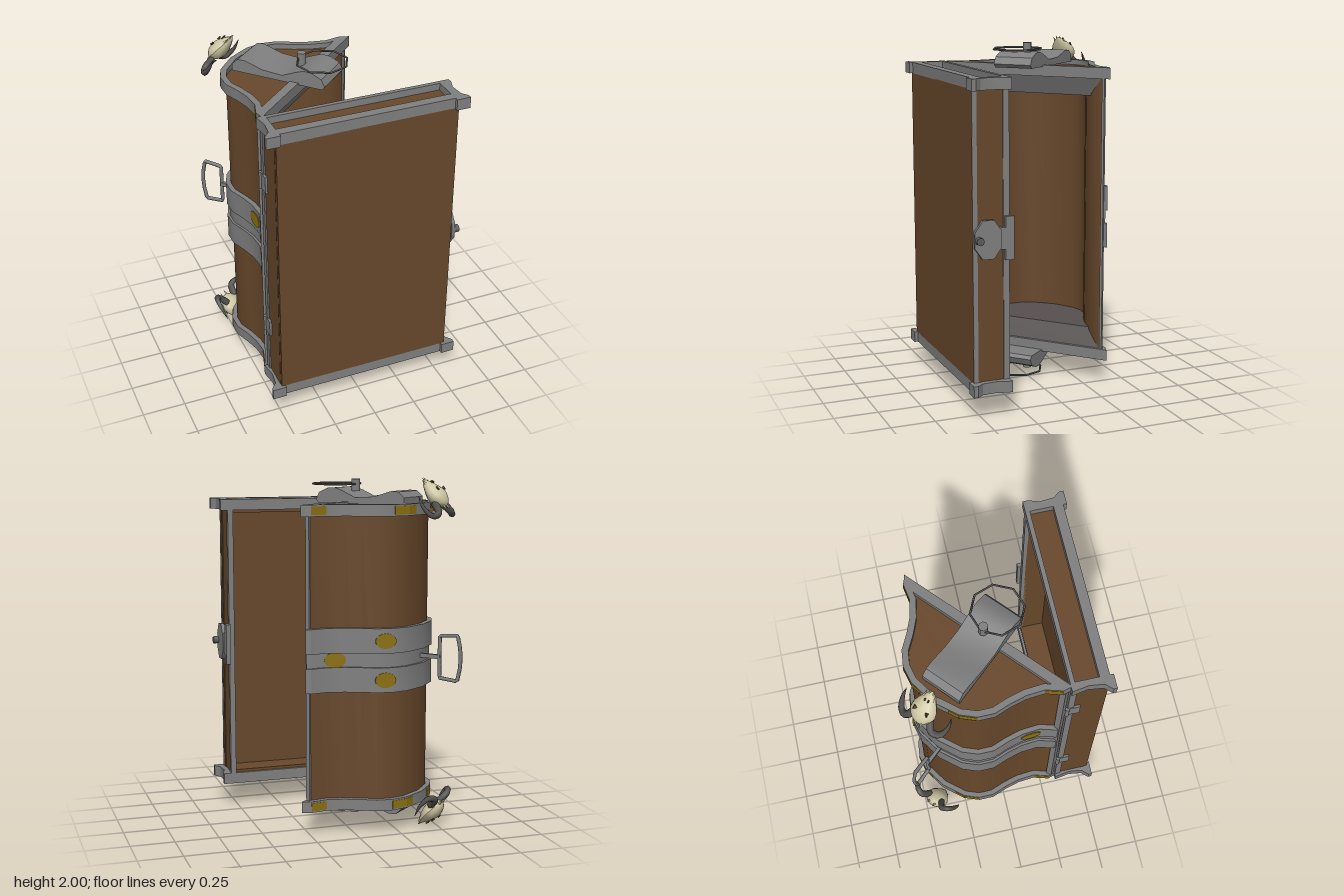
import * as THREE from 'three';
import { toCreasedNormals } from 'three/addons/utils/BufferGeometryUtils.js';

const mat = (name, color, side = THREE.FrontSide) => {
  const m = new THREE.MeshStandardMaterial({ color, side });
  m.name = name;
  return m;
};

export function createModel() {
  const wood = mat('wood', 0x68482b);
  const iron = mat('iron', 0x808080, THREE.DoubleSide);
  const darkIron = mat('dark iron', 0x5e5e5e);
  const lining = mat('lining', 0x565050, THREE.DoubleSide);
  const gold = mat('gold', 0x8c7010);
  const bone = mat('bone', 0xcfc8a4);
  const horn = mat('horn', 0x524f4c);
  const black = mat('socket', 0x4a4030);

  const add = (parent, name, geo, material) => {
    const m = new THREE.Mesh(geo, material);
    m.name = name;
    parent.add(m);
    return m;
  };
  const box = (p, name, m, x0, x1, y0, y1, z0, z1) =>
    add(p, name, new THREE.BoxGeometry(x1 - x0, y1 - y0, z1 - z0)
      .translate((x0 + x1) / 2, (y0 + y1) / 2, (z0 + z1) / 2), m);
  const vecs = (pts) => pts.map(([x, y]) => new THREE.Vector2(x, y));
  // upright prism; outline is (x, v) with v pointing to -z
  const prism = (p, name, m, pts, y0, y1, hole) => {
    const s = new THREE.Shape(vecs(pts));
    if (hole) s.holes.push(new THREE.Path(vecs(hole)));
    const g = new THREE.ExtrudeGeometry(s, { depth: y1 - y0, bevelEnabled: false });
    g.rotateX(-Math.PI / 2).translate(0, y0, 0);
    return add(p, name, toCreasedNormals(g, 0.5), m);
  };

  const root = new THREE.Group();
  root.name = 'chest';
  // heights are measured from the middle of the chest
  const tray = new THREE.Group();
  tray.name = 'tray';
  tray.position.y = 0.99;
  root.add(tray);

  // --- tray ---
  box(tray, 'trayFloor', wood, -0.495, 0.541, -0.8, 0.8, 0.49, 0.54);
  box(tray, 'trayLeftWall', wood, 0.51, 0.536, -0.8, 0.8, 0.35, 0.52);
  box(tray, 'trayRightWall', wood, -0.497, -0.475, -0.8, 0.8, 0.35, 0.52);
  const capOutline = [[-0.525, -0.33], [-0.51, -0.42], [-0.52, -0.5], [-0.555, -0.54], [-0.555, -0.56],
    [-0.475, -0.56], [-0.475, -0.54], [0.52, -0.54], [0.52, -0.56], [0.6, -0.56], [0.6, -0.535],
    [0.572, -0.5], [0.565, -0.42], [0.585, -0.36], [0.585, -0.33]];
  const capHole = [[-0.475, -0.355], [-0.475, -0.485], [0.52, -0.485], [0.52, -0.355]];
  for (const s of [-1, 1]) {
    const y = s * 0.828;
    prism(tray, 'trayEndFrame', iron, capOutline, y - 0.032, y + 0.032, capHole);
    box(tray, 'trayEndPanel', wood, -0.49, 0.535, s * 0.8 - 0.02, s * 0.8 + 0.02, 0.345, 0.5);
    add(tray, 'hinge', new THREE.CylinderGeometry(0.012, 0.012, 0.1, 8).translate(-0.508, s * 0.48, 0.33), iron);
    box(tray, 'hingePlate', iron, -0.51, -0.49, s * 0.48 - 0.05, s * 0.48 + 0.05, 0.33, 0.4);
  }
  for (const [x0, x1] of [[-0.505, -0.475], [0.51, 0.542]]) {
    box(tray, 'trayRim', iron, x0, x1, -0.8, 0.8, 0.33, 0.365);
  }
  // iron edge, seen on the side wall only
  box(tray, 'trayEdge', iron, 0.53, 0.543, -0.8, 0.8, 0.513, 0.5395);

  // lock on the opening side
  const lock = new THREE.Group();
  lock.name = 'lock';
  tray.add(lock);
  box(lock, 'lockBracket', iron, 0.54, 0.565, -0.12, 0.12, 0.31, 0.36);
  box(lock, 'lockArm', iron, 0.53, 0.563, -0.06, 0.06, 0.36, 0.46);
  const plate = new THREE.CylinderGeometry(1, 1, 0.02, 8).rotateY(Math.PI / 8).rotateZ(Math.PI / 2);
  add(lock, 'lockPlate', plate.scale(1, 0.115, 0.083).translate(0.56, 0, 0.46), iron);
  add(lock, 'lockPeg', new THREE.CylinderGeometry(0.022, 0.022, 0.05, 8).rotateZ(Math.PI / 2)
    .translate(0.575, 0, 0.515), darkIron);

  // --- lid, swung open about the long edge ---
  const lid = new THREE.Group();
  lid.name = 'lid';
  lid.position.set(-0.11, 0.99, -0.03);
  lid.rotation.y = 0.731;
  root.add(lid);

  const half = [[0.525, 0], [0.51, 0.03], [0.43, 0.08], [0.37, 0.16], [0.33, 0.24],
    [0.295, 0.33], [0.235, 0.398], [0.15, 0.443], [0, 0.465]];
  const full = [...half, ...half.slice(0, -1).reverse().map(([x, v]) => [-x, v])];
  // lid outline moved inward by d
  const arch = (d, vMin = 0) => full.map(([x, v], i) => {
    const a = full[Math.max(i - 1, 0)], b = full[Math.min(i + 1, full.length - 1)];
    const tx = b[0] - a[0], tv = b[1] - a[1], l = Math.hypot(tx, tv);
    return [x - (tv / l) * d, Math.max(v + (tx / l) * d, vMin)];
  });
  const shell = (d0, d1) => [...arch(d0), ...arch(d1).reverse()];

  prism(lid, 'lidShell', wood, shell(0.03, 0.05), -0.798, 0.798);
  prism(lid, 'lidStrap', iron, shell(0.002, 0.04), 0.04, 0.18);
  prism(lid, 'lidStrap', iron, shell(0.002, 0.04), -0.18, -0.04);
  prism(lid, 'lidStrapMiddle', iron, shell(0.016, 0.04), -0.05, 0.05);
  box(lid, 'lidHingeRim', iron, -0.52, -0.485, -0.8, 0.8, -0.02, 0.012);
  box(lid, 'lidRim', iron, 0.485, 0.5, -0.8, 0.8, -0.01, 0.012);

  // gold patches lying on one facet of the lid
  const patch = (parent, d, i, y, geo, t = 0.5) => {
    const p = arch(d), a = p[i], b = p[i + 1];
    const m = add(parent, 'goldPatch', geo, gold);
    m.position.set(a[0] + (b[0] - a[0]) * t, y, -(a[1] + (b[1] - a[1]) * t));
    m.rotation.y = Math.atan2(b[1] - a[1], b[0] - a[0]);
  };
  const oval = (r) => new THREE.CylinderGeometry(1, 1, 0.009, 16).rotateX(Math.PI / 2).scale(r, 0.043, 1);
  patch(lid, 0.002, 5, 0.11, oval(0.06));
  patch(lid, 0.002, 5, -0.11, oval(0.06));
  patch(lid, 0.016, 2, 0, oval(0.062), 0.5);
  patch(lid, 0.002, 13, 0.11, oval(0.058));

  // carrying handle
  const ring = [[0.565, -0.12], [0.675, -0.13], [0.69, -0.06], [0.695, 0], [0.69, 0.06], [0.675, 0.13], [0.565, 0.12]];
  const path = new THREE.CurvePath();
  ring.forEach((a, i) => {
    const b = ring[(i + 1) % ring.length];
    path.add(new THREE.LineCurve3(new THREE.Vector3(0, a[1], -a[0]), new THREE.Vector3(0, b[1], -b[0])));
  });
  add(lid, 'handle', new THREE.TubeGeometry(path, 56, 0.011, 6, true), iron);
  box(lid, 'handleMount', iron, -0.01, 0.01, -0.012, 0.012, -0.57, -0.44);

  // one lid end with its cap, clasp, wheel and skull
  const lidEnd = (innerMaterial) => {
    const g = new THREE.Group();
    g.name = 'lidEnd';
    prism(g, 'lidEndBand', iron, [[0.538, -0.018], ...arch(0), [-0.538, -0.018]], 0.796, 0.86,
      [[0.44, 0.035], ...arch(0.035, 0.035).slice(2, -2), [-0.44, 0.035]]);
    prism(g, 'lidEndPanel', wood, [[0.46, 0.015], ...arch(0.025, 0.02).slice(2, -2), [-0.46, 0.015]], 0.8, 0.83);
    // inner end: sloped lip, then a flat wall
    const lip = new THREE.BufferGeometry();
    lip.setAttribute('position', new THREE.Float32BufferAttribute(
      [-0.48, 0.797, 0, 0.48, 0.797, 0, 0.41, 0.69, -0.05, -0.41, 0.69, -0.05], 3));
    lip.setIndex([0, 2, 1, 0, 3, 2]);
    lip.computeVertexNormals();
    add(g, 'innerLip', lip, innerMaterial);
    prism(g, 'innerEnd', innerMaterial, arch(0.045, 0.05).slice(2, -2), 0.69, 0.7);
    // gold inlays on the rim: facet, middle and share of the facet
    for (const [i, t, k] of [[1, 0.5, 1], [6, 0.5, 1], [7, 0.2, 0.4], [8, 0.8, 0.4], [9, 0.5, 1], [14, 0.5, 1]]) {
      const p = full[i], q = full[i + 1];
      const w = k * Math.hypot(p[0] - q[0], p[1] - q[1]);
      patch(g, 0.001, i, 0.828, new THREE.BoxGeometry(w, 0.046, 0.006), t);
    }

    // clasp, profile in (v, y), extruded across the lid
    const prof = new THREE.Shape(vecs([[0.39, 0.85], [0.39, 0.89], [0.355, 0.922], [0.31, 0.925], [0.2, 0.892],
      [0.08, 0.885], [0, 0.92], [-0.05, 0.938], [-0.1, 0.935], [-0.155, 0.91], [-0.175, 0.87], [-0.16, 0.85]]));
    const clasp = new THREE.ExtrudeGeometry(prof, { depth: 0.232, bevelEnabled: false });
    clasp.translate(0, 0, -0.116).rotateY(Math.PI / 2);
    add(g, 'clasp', toCreasedNormals(clasp, 0.5), iron);
    const wheel = new THREE.TorusGeometry(0.143, 0.006, 4, 8).rotateX(Math.PI / 2);
    add(g, 'wheel', wheel.translate(0, 0.956, 0.105), darkIron);
    add(g, 'wheelPeg', new THREE.CylinderGeometry(0.026, 0.026, 0.07, 8).translate(0, 0.95, -0.02), iron);

    // horned skull; its face looks along local -z, muzzle along +y
    const skull = new THREE.Group();
    skull.name = 'skull';
    skull.position.set(0, 0.915, -0.52);
    skull.rotation.x = 0.78;
    g.add(skull);
    const head = new THREE.SphereGeometry(1, 12, 10);
    const pos = head.attributes.position;
    for (let i = 0; i < pos.count; i++) {
      const y = pos.getY(i), k = y > -0.2 ? 1 - 0.48 * (y + 0.2) : 1;
      pos.setXYZ(i, pos.getX(i) * 0.076 * k, y * 0.1, pos.getZ(i) * 0.052 * k);
    }
    head.computeVertexNormals();
    add(skull, 'skullHead', head, bone);
    for (const s of [-1, 1]) {
      const eye = new THREE.CylinderGeometry(0.014, 0.014, 0.008, 3).rotateX(Math.PI / 2).rotateZ(s * 0.5);
      const e = add(skull, 'eyeSocket', eye, black);
      e.position.set(s * 0.036, -0.005, -0.045);
      e.rotation.y = s * 0.55;
      add(skull, 'nostril', new THREE.BoxGeometry(0.007, 0.014, 0.008).translate(s * 0.01, 0.055, -0.033), black);
      for (const x of [0.01, 0.03]) {
        add(skull, 'tooth', new THREE.ConeGeometry(0.01, 0.04, 4).translate(s * x, 0.098 - x * 0.7, -0.006), bone);
      }
      add(skull, 'crest', new THREE.ConeGeometry(0.012, 0.045, 4).rotateZ(Math.PI)
        .translate(s * 0.02, -0.105, 0), bone);
      // tapered horn
      const curve = new THREE.CatmullRomCurve3([[0.045, 0.86, -0.545], [0.08, 0.81, -0.585],
        [0.12, 0.795, -0.57], [0.143, 0.84, -0.525], [0.14, 0.905, -0.49]]
        .map(([x, y, z]) => new THREE.Vector3(s * x, y, z)));
      const tube = new THREE.TubeGeometry(curve, 14, 0.022, 6);
      const tp = tube.attributes.position, v = new THREE.Vector3();
      for (let i = 0; i < tp.count; i++) {
        const t = Math.floor(i / 7) / 14;
        v.fromBufferAttribute(tp, i).lerp(curve.getPointAt(t), t * t * 0.95);
        tp.setXYZ(i, v.x, v.y, v.z);
      }
      add(g, 'horn', tube, horn);
    }
    return g;
  };
  const topEnd = lidEnd(iron);
  const bottomEnd = lidEnd(lining);
  bottomEnd.rotation.z = Math.PI;
  lid.add(topEnd, bottomEnd);
  return root;
}
